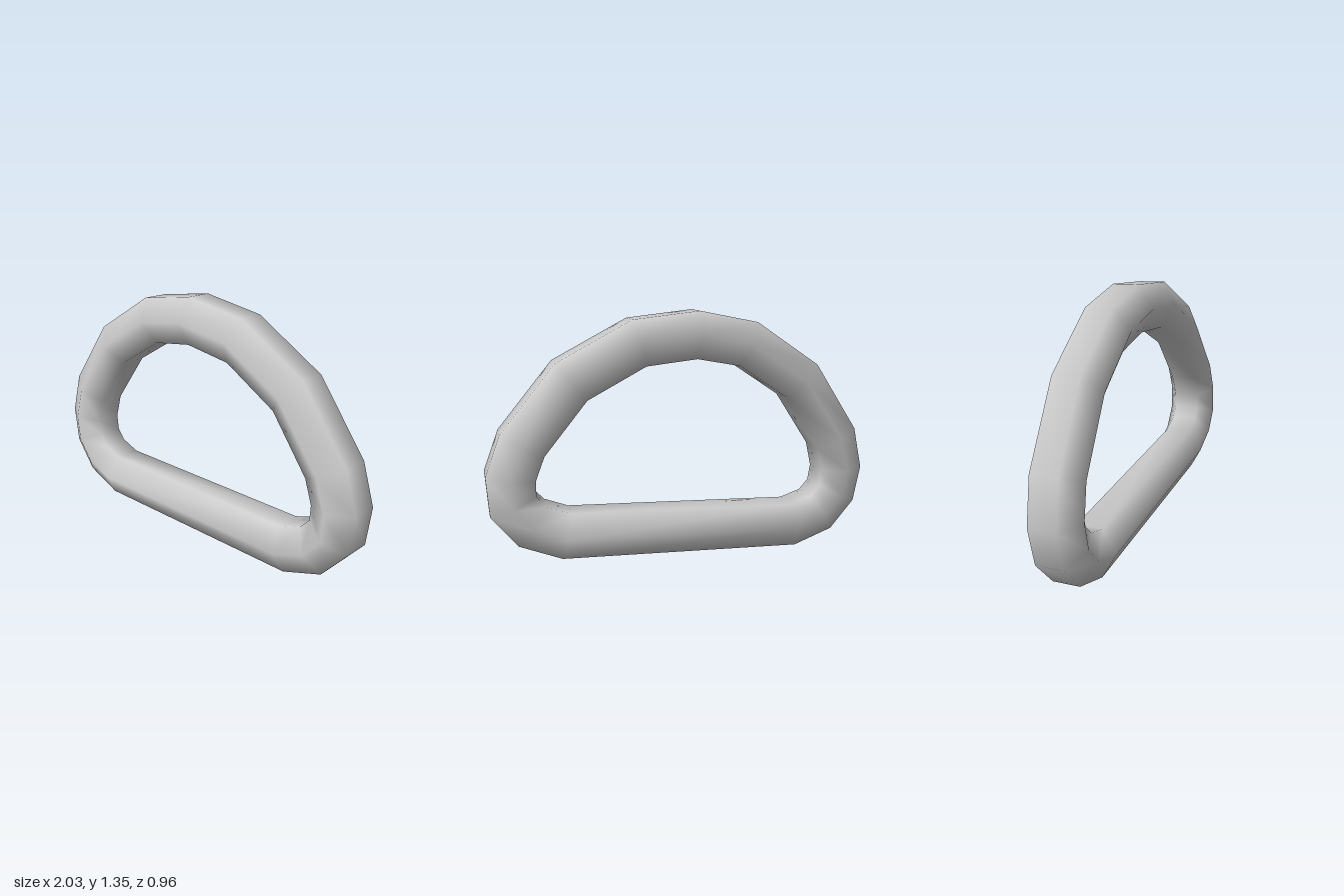
import * as THREE from 'three';

// Centre line of the ring (x, y), clockwise from the lower right-hand end of the bar
const PATH = [
  [-0.60, 0.125], [-0.76, 0.185], [-0.845, 0.295], [-0.865, 0.44], [-0.82, 0.625],
  [-0.60, 0.96], [-0.295, 1.17], [-0.03, 1.222], [0.265, 1.185], [0.59, 0.995],
  [0.82, 0.68], [0.875, 0.51], [0.865, 0.365], [0.775, 0.25], [0.61, 0.18],
];
const SIDES = 6;
const RADIUS = 0.145;
// The ring lies in a leaning plane: z = SLOPE * x + LEAN * (y - 0.42)
const SLOPE = 0.395, LEAN = -0.05;

// Closed tube with a hexagonal section, flat side facing outwards
function ringGeometry() {
  const normal = new THREE.Vector3(-SLOPE, -LEAN, 1).normalize();
  const centres = PATH.map(([x, y]) => new THREE.Vector3(x, y, SLOPE * x + LEAN * (y - 0.42)));
  const count = centres.length;
  const positions = [], index = [];

  centres.forEach((p, i) => {
    const before = p.clone().sub(centres[(i + count - 1) % count]).normalize();
    const after = centres[(i + 1) % count].clone().sub(p).normalize();
    const tangent = before.add(after).normalize();
    const outward = normal.clone().cross(tangent);
    for (let j = 0; j < SIDES; j++) {
      const a = ((j + 0.5) / SIDES) * Math.PI * 2;
      const v = p.clone()
        .addScaledVector(outward, RADIUS * Math.cos(a))
        .addScaledVector(normal, RADIUS * Math.sin(a));
      positions.push(v.x, v.y, v.z);

      const i2 = (i + 1) % count, j2 = (j + 1) % SIDES;
      const q = [i * SIDES + j, i * SIDES + j2, i2 * SIDES + j2, i2 * SIDES + j];
      index.push(q[0], q[1], q[3], q[1], q[2], q[3]);
    }
  });

  const geometry = new THREE.BufferGeometry();
  geometry.setAttribute('position', new THREE.Float32BufferAttribute(positions, 3));
  geometry.setIndex(index);
  geometry.computeVertexNormals();
  return geometry;
}

export function createModel() {
  const group = new THREE.Group();
  group.name = 'dRing';
  const ring = new THREE.Mesh(ringGeometry(), new THREE.MeshStandardMaterial({ color: 0xcccccc }));
  ring.name = 'ring';
  // Stand the ring on the ground, centred
  const box = new THREE.Box3().setFromObject(ring);
  const c = box.getCenter(new THREE.Vector3());
  ring.position.set(-c.x, -box.min.y, -c.z);
  group.add(ring);
  return group;
}
